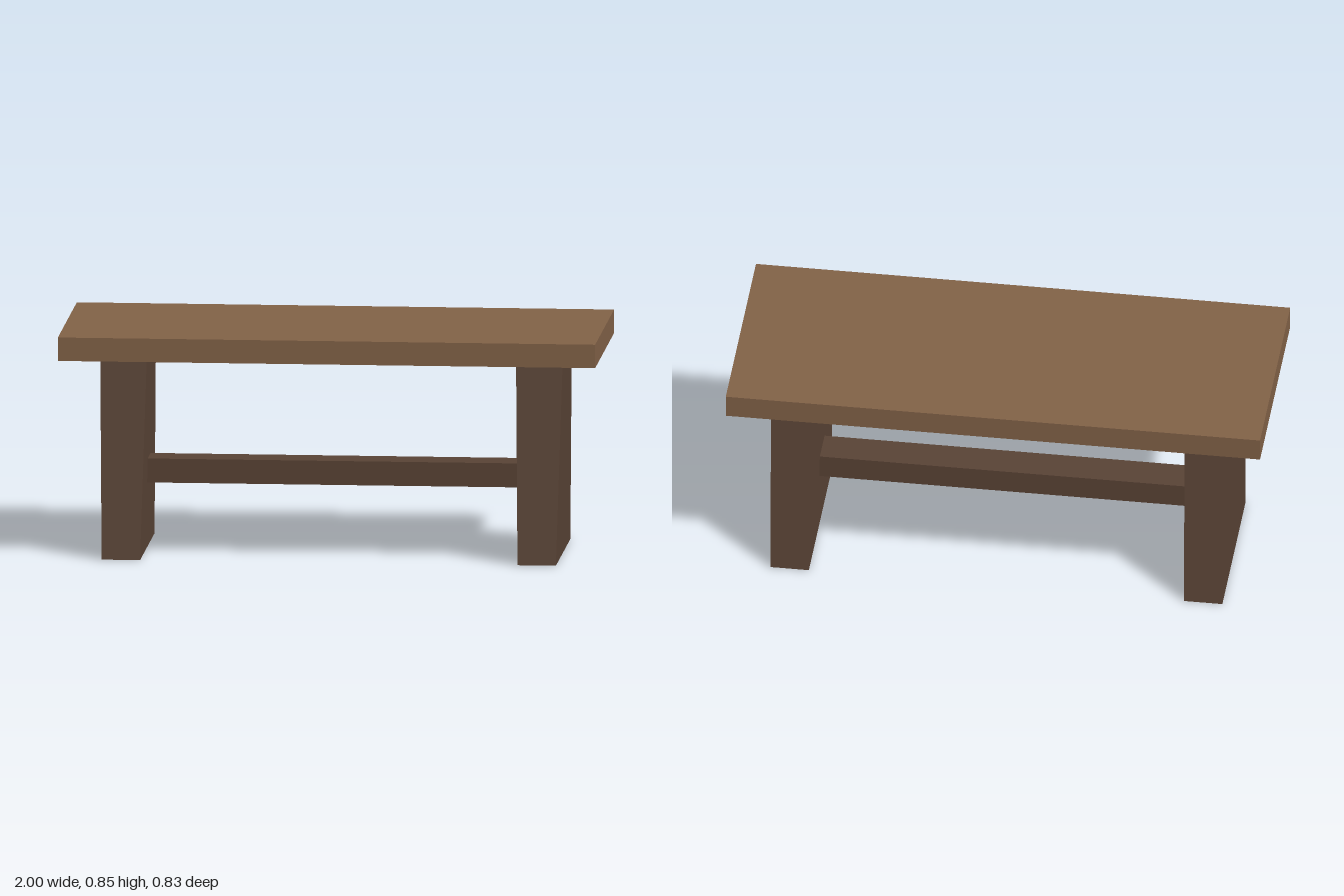
import * as THREE from 'three';

const lightWood = new THREE.MeshStandardMaterial({ color: 0x826247 });
lightWood.name = 'lightWood';
const darkWood = new THREE.MeshStandardMaterial({ color: 0x594335 });
darkWood.name = 'darkWood';

const LEG_HEIGHT = 0.76;
const TOP_THICKNESS = 0.088;

// Box whose top and bottom faces have different widths and depths
function taperedBox(bottomW, bottomD, topW, topD, height) {
  const geometry = new THREE.BoxGeometry(1, height, 1);
  const p = geometry.attributes.position;
  for (let i = 0; i < p.count; i++) {
    const upper = p.getY(i) > 0;
    p.setX(i, p.getX(i) * (upper ? topW : bottomW));
    p.setZ(i, p.getZ(i) * (upper ? topD : bottomD));
  }
  geometry.computeVertexNormals();
  return geometry;
}

function addPart(group, name, geometry, material, x, y, z) {
  const mesh = new THREE.Mesh(geometry, material);
  mesh.name = name;
  mesh.position.set(x, y, z);
  group.add(mesh);
}

export function createModel() {
  const table = new THREE.Group();
  table.name = 'trestleTable';

  // Tabletop slab
  addPart(table, 'tabletop', new THREE.BoxGeometry(2, TOP_THICKNESS, 0.828),
    lightWood, 0, LEG_HEIGHT + TOP_THICKNESS / 2, 0);

  // Slab legs: wide at the foot front to back, slightly thicker at the top
  const leg = taperedBox(0.143, 0.63, 0.174, 0.392, LEG_HEIGHT);
  for (const side of [-1, 1]) {
    addPart(table, side > 0 ? 'leftLeg' : 'rightLeg', leg, darkWood,
      side * 0.774, LEG_HEIGHT / 2, 0);
  }

  // Stretcher bar, let into both legs
  addPart(table, 'stretcher', new THREE.BoxGeometry(1.45, 0.09, 0.13),
    darkWood, 0, 0.297, 0);

  return table;
}
